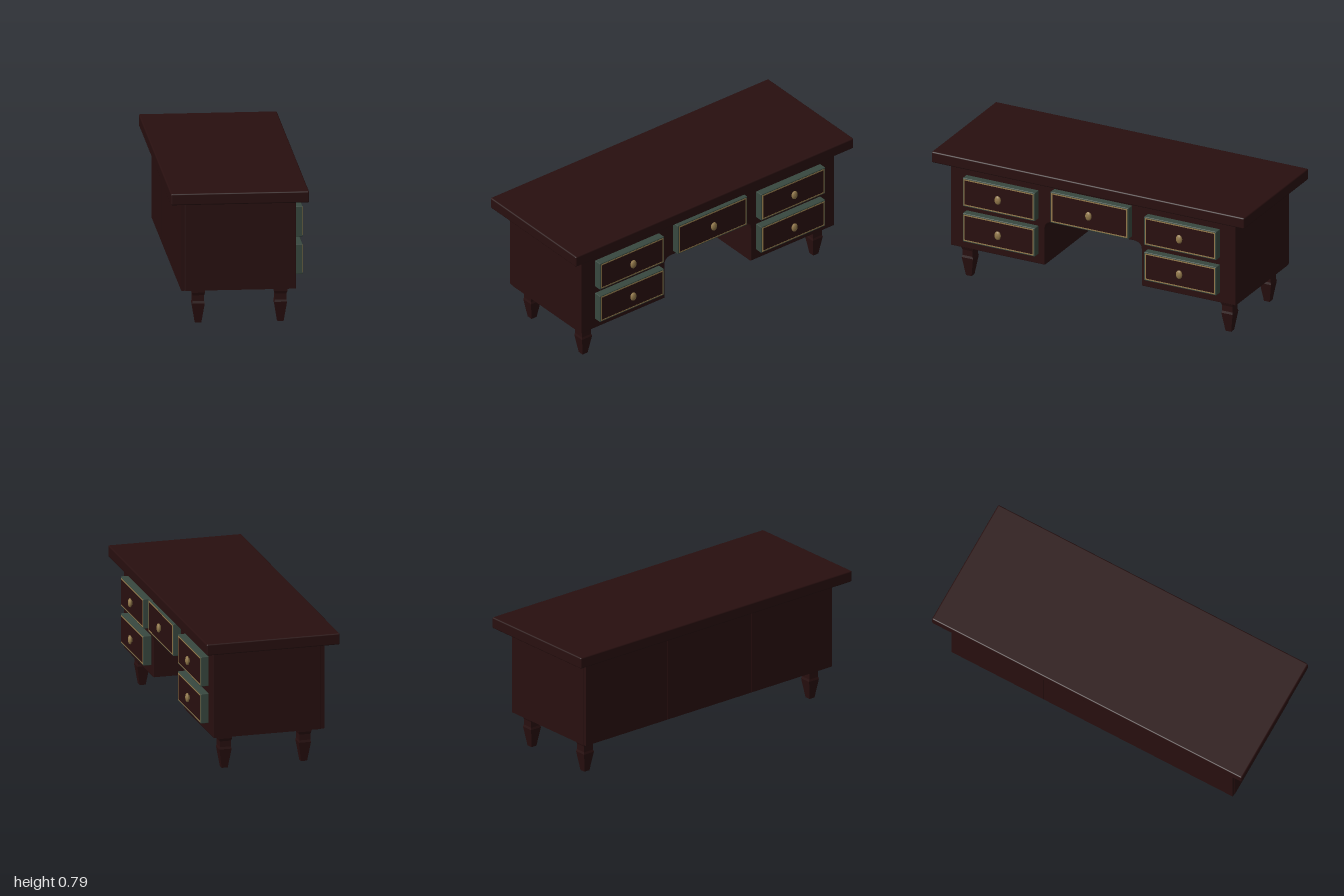
import * as THREE from 'three';
import { RoundedBoxGeometry } from 'three/addons/geometries/RoundedBoxGeometry.js';

const mat = (name, color) => Object.assign(new THREE.MeshStandardMaterial({ color }), { name });

export function createModel() {
  const wood = mat('dark mahogany', 0x280f0f);
  const green = mat('grey green trim', 0x38483f);
  const brass = mat('aged brass', 0x92784a);

  const desk = new THREE.Group();
  desk.name = 'desk';
  const add = (parent, name, geometry, material, x = 0, y = 0, z = 0) => {
    const mesh = new THREE.Mesh(geometry, material);
    mesh.name = name;
    mesh.position.set(x, y, z);
    parent.add(mesh);
    return mesh;
  };

  // Table top with a sloped moulding under its overhang
  add(desk, 'tableTop', new RoundedBoxGeometry(0.786, 0.067, 2, 2, 0.008), wood, -0.002, 0.752, 0);
  const moulding = new THREE.BoxGeometry(0.77, 0.014, 1.985).toNonIndexed();
  const p = moulding.attributes.position;
  for (let i = 0; i < p.count; i++) {
    if (p.getY(i) < 0) p.setXYZ(i, p.getX(i) * 0.86, p.getY(i), p.getZ(i) * 0.945);
  }
  moulding.computeVertexNormals();
  add(desk, 'topMoulding', moulding, wood, -0.002, 0.714, 0);

  // Body: pedestals and arched knee hole, as one outline extruded along x
  const b = 0.004;
  const W = 0.91 - b, low = 0.2 + b, high = 0.715, K = 0.31 + b, arch = 0.47 + b, r = 0.055;
  const outline = new THREE.Shape();
  outline.moveTo(-W, low);
  outline.lineTo(-K, low);
  outline.lineTo(-K, arch - r);
  outline.quadraticCurveTo(-K, arch, -K + r, arch);
  outline.lineTo(K - r, arch);
  outline.quadraticCurveTo(K, arch, K, arch - r);
  outline.lineTo(K, low);
  outline.lineTo(W, low);
  outline.lineTo(W, high);
  outline.lineTo(-W, high);
  const body = new THREE.ExtrudeGeometry(outline, {
    depth: 0.635 - 2 * b, bevelSize: b, bevelThickness: b, bevelSegments: 2, curveSegments: 8,
  });
  body.rotateY(Math.PI / 2);
  add(desk, 'body', body, wood, -0.31 + b, 0, 0);

  // Back: a thin full panel with three raised boards
  add(desk, 'backPanel', new THREE.BoxGeometry(0.018, 0.515, 1.815), wood, -0.318, 0.458, 0);
  for (const [z, width] of [[-0.61, 0.594], [0, 0.616], [0.61, 0.594]]) {
    add(desk, 'backBoard', new THREE.BoxGeometry(0.006, 0.505, width), wood, -0.327, 0.456, z);
  }

  // Square turned legs
  const legProfile = [[0, 0], [0.018, 0], [0.036, 0.115], [0.0325, 0.128], [0.0325, 0.162], [0.038, 0.178], [0.038, 0.203]]
    .map(([half, y]) => new THREE.Vector2(half * Math.SQRT2, y));
  const legGeometry = new THREE.LatheGeometry(legProfile, 4, Math.PI / 4).toNonIndexed();
  legGeometry.computeVertexNormals();
  for (const x of [-0.227, 0.241]) {
    for (const z of [-0.83, 0.83]) add(desk, 'leg', legGeometry, wood, x, 0, z);
  }

  // Flat ring facing +x
  const ringGeometry = (w, h, t) => {
    const rect = (path, a, c) => {
      path.moveTo(-a, -c);
      path.lineTo(a, -c);
      path.lineTo(a, c);
      path.lineTo(-a, c);
      path.closePath();
      return path;
    };
    const shape = rect(new THREE.Shape(), w / 2, h / 2);
    shape.holes.push(rect(new THREE.Path(), w / 2 - t, h / 2 - t));
    return new THREE.ExtrudeGeometry(shape, { depth: 0.003, bevelEnabled: false }).rotateY(Math.PI / 2);
  };

  // Drawer: green block, brass line, wooden face and oval knob
  const knobProfile = [[0, 0], [0.012, 0], [0.011, 0.004], [0.018, 0.007], [0.02, 0.012], [0.018, 0.018], [0.011, 0.022], [0, 0.024]]
    .map(([radius, y]) => new THREE.Vector2(radius, y));
  const knobGeometry = new THREE.LatheGeometry(knobProfile, 14);
  knobGeometry.rotateZ(-Math.PI / 2).scale(1, 1.35, 1);

  const addDrawer = (z, y, w, h) => {
    const drawer = new THREE.Group();
    drawer.name = 'drawer';
    drawer.position.set(0, y, z);
    add(drawer, 'drawerBlock', new RoundedBoxGeometry(0.048, h, w, 2, 0.004), green, 0.347);
    add(drawer, 'drawerBrassLine', ringGeometry(w - 0.014, h - 0.014, 0.007), brass, 0.3695);
    add(drawer, 'drawerFace', new THREE.BoxGeometry(0.003, h - 0.028, w - 0.028), wood, 0.3705);
    add(drawer, 'knob', knobGeometry, brass, 0.371);
    desk.add(drawer);
  };
  for (const z of [-0.58, 0.58]) {
    addDrawer(z, 0.348, 0.462, 0.176);
    addDrawer(z, 0.567, 0.462, 0.176);
  }
  addDrawer(0, 0.589, 0.5, 0.192);

  return desk;
}
